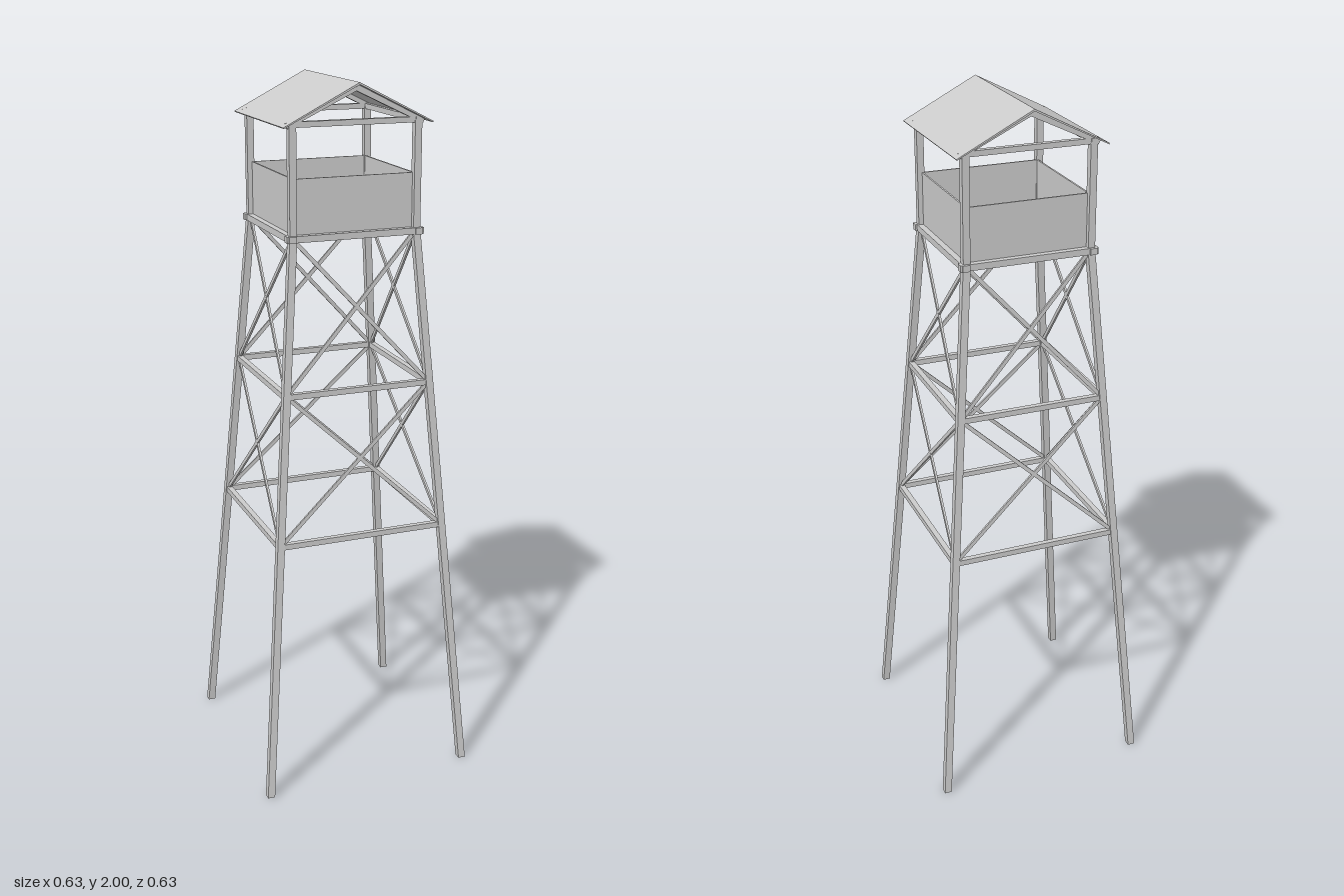
import * as THREE from 'three';

const material = new THREE.MeshStandardMaterial({ color: 0xcccccc, flatShading: true });
const LEG_TOP = 1.6;
const POST = 0.178;

// Distance of a leg's centre line from the axis at height y
const legOffset = (y) => 0.304 + (POST - 0.304) * (y / LEG_TOP);

function addMesh(parent, name, geometry) {
  const mesh = new THREE.Mesh(geometry, material);
  mesh.name = name;
  parent.add(mesh);
  return mesh;
}

function addBox(parent, name, size, position) {
  const mesh = addMesh(parent, name, new THREE.BoxGeometry(...size));
  mesh.position.set(...position);
  return mesh;
}

// Timber between two points, its thickness measured towards the front of its parent
function addBeam(parent, name, from, to, width, thickness) {
  const a = new THREE.Vector3(...from);
  const b = new THREE.Vector3(...to);
  const mesh = addMesh(parent, name, new THREE.BoxGeometry(width, thickness, a.distanceTo(b)));
  mesh.position.copy(a).add(b).multiplyScalar(0.5);
  const facing = new THREE.Matrix4().lookAt(a, b, new THREE.Vector3(0, 0, 1));
  mesh.quaternion.setFromRotationMatrix(facing);
}

// Box sheared so that its level ends follow the slope of the tower
function legGeometry(sx, sz) {
  const geometry = new THREE.BoxGeometry(0.021, LEG_TOP, 0.021);
  geometry.translate(0, LEG_TOP / 2, 0);
  const p = geometry.attributes.position;
  for (let i = 0; i < p.count; i++) {
    const offset = legOffset(p.getY(i));
    p.setX(i, p.getX(i) + sx * offset);
    p.setZ(i, p.getZ(i) + sz * offset);
  }
  geometry.computeVertexNormals();
  return geometry;
}

export function createModel() {
  const tower = new THREE.Group();
  tower.name = 'watchtower';

  // Splayed legs with upright cabin posts above them
  for (const sx of [-1, 1]) {
    for (const sz of [-1, 1]) {
      addMesh(tower, 'leg', legGeometry(sx, sz));
      addBox(tower, 'cabinPost', [0.02, 0.3, 0.02], [sx * POST, 1.745, sz * POST]);
    }
  }

  // One side of the frame, repeated on all four faces
  for (let i = 0; i < 4; i++) {
    const side = new THREE.Group();
    side.name = 'towerSide';
    side.rotation.y = (i * Math.PI) / 2;
    tower.add(side);

    // Level rails
    for (const y of [0.75, 1.173]) {
      const d = legOffset(y);
      addBox(side, 'rail', [2 * d, 0.016, 0.016], [0, y, d]);
    }
    addBox(side, 'platformBeam', [0.394, 0.018, 0.02], [0, 1.598, POST + 0.004]);

    // Crossed braces in the sloping plane of the legs
    for (const [low, high] of [[0.755, 1.168], [1.18, 1.592]]) {
      const a = legOffset(low);
      const b = legOffset(high);
      for (const s of [-1, 1]) {
        addBeam(side, 'crossBrace', [-s * (a - 0.006), low, a], [s * (b - 0.006), high, b], 0.011, 0.006);
      }
    }

    // Parapet panel and the beam that carries the roof
    addBox(side, 'parapet', [0.342, 0.155, 0.005], [0, 1.6775, POST - 0.006]);
    addBox(side, 'roofBeam', [0.376, 0.015, 0.016], [0, 1.896, POST]);
  }

  // Floor with corners cut back around the posts
  const f = 0.178;
  const c = f - 0.06;
  const outline = [[f, -c], [f, c], [c, f], [-c, f], [-f, c], [-f, -c], [-c, -f], [c, -f]];
  const floorShape = new THREE.Shape(outline.map(([x, y]) => new THREE.Vector2(x, y)));
  const floor = addMesh(tower, 'floor',
    new THREE.ExtrudeGeometry(floorShape, { depth: 0.01, bevelEnabled: false }));
  floor.rotation.x = -Math.PI / 2;
  floor.position.y = 1.593;

  // Rafters at both gables
  for (const z of [-POST, POST]) {
    for (const s of [-1, 1]) {
      addBeam(tower, 'rafter', [s * 0.194, 1.893, z], [0, 1.985, z], 0.016, 0.016);
    }
  }

  // Thin pitched roof
  const roofShape = new THREE.Shape([
    [-0.211, 1.893], [-0.209, 1.89], [0, 1.994], [0.209, 1.89], [0.211, 1.893], [0, 2],
  ].map(([x, y]) => new THREE.Vector2(x, y)));
  const roof = addMesh(tower, 'roof',
    new THREE.ExtrudeGeometry(roofShape, { depth: 0.42, bevelEnabled: false }));
  roof.position.z = -0.21;

  return tower;
}
